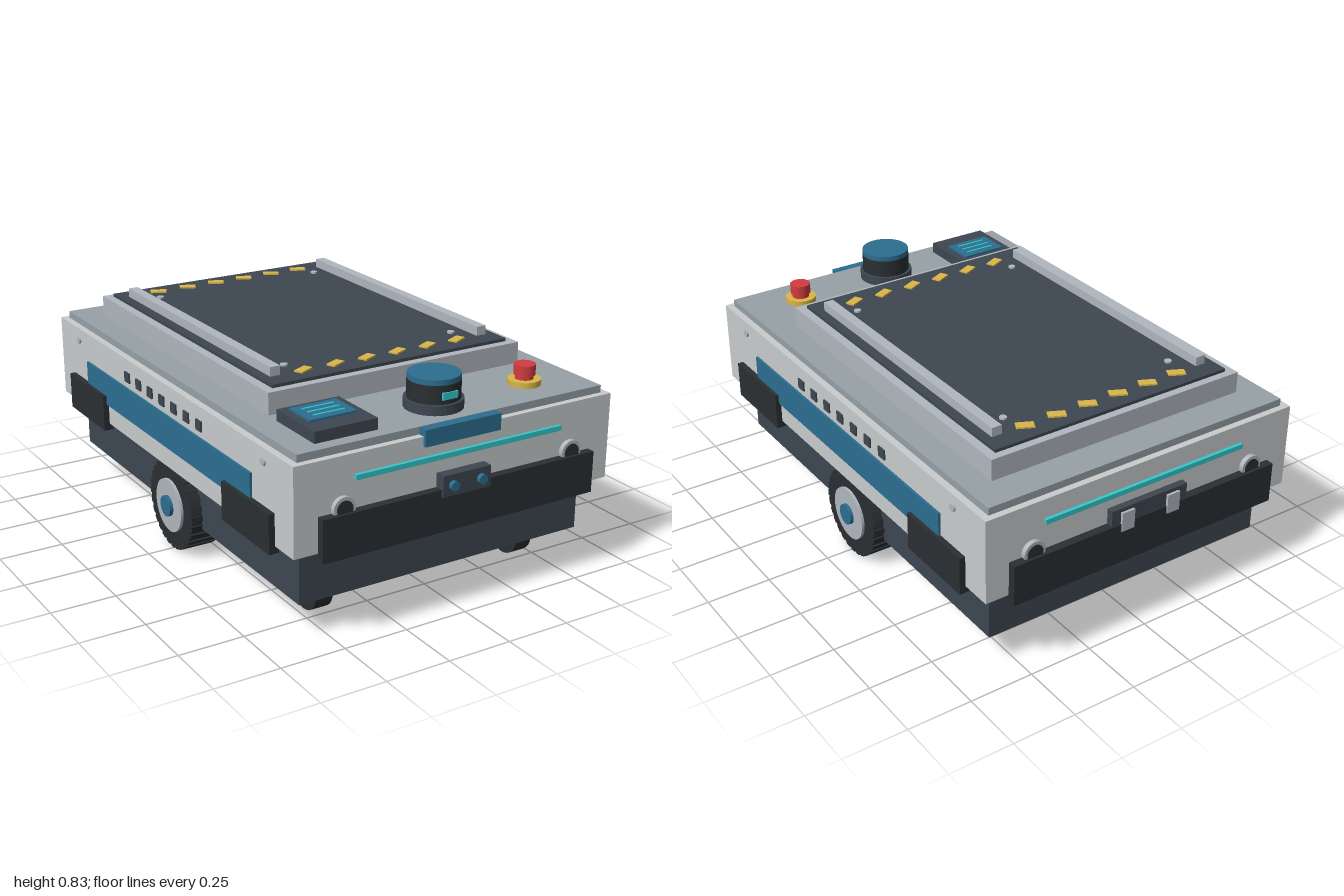
import * as THREE from 'three';

const mat = (color) => new THREE.MeshStandardMaterial({ color });
const M = {
  shell: mat(0xc8cccd), deck: mat(0x96a1a6), metal: mat(0xb0b7be), dark: mat(0x3d4751),
  black: mat(0x2a2f32), blue: mat(0x2c6e90), cyan: mat(0x34c9cd), yellow: mat(0xdab548), red: mat(0xd23c3f),
};

export function createModel() {
  const root = new THREE.Group();
  root.name = 'mobileRobot';
  const body = new THREE.Group();
  body.name = 'robot';
  body.position.z = -0.01;
  root.add(body);

  const add = (name, geo, m, x, y, z, parent = body) => {
    const mesh = new THREE.Mesh(geo, m);
    mesh.name = name;
    mesh.position.set(x, y, z);
    parent.add(mesh);
    return mesh;
  };
  // box given by its limits
  const box = (name, m, x0, x1, y0, y1, z0, z1, parent) =>
    add(name, new THREE.BoxGeometry(x1 - x0, y1 - y0, z1 - z0), m, (x0 + x1) / 2, (y0 + y1) / 2, (z0 + z1) / 2, parent);
  // cylinder centred on a point, along the chosen axis
  const cyl = (name, m, r, len, x, y, z, axis = 'y', parent = body, seg = 32) => {
    const g = new THREE.CylinderGeometry(r, r, len, seg);
    if (axis === 'x') g.rotateZ(Math.PI / 2);
    if (axis === 'z') g.rotateX(Math.PI / 2);
    return add(name, g, m, x, y, z, parent);
  };

  // Main hull
  box('chassis', M.dark, -0.6, 0.6, 0.135, 0.352, -0.877, 0.877);
  box('shell', M.shell, -0.665, 0.665, 0.352, 0.68, -0.953, 0.953);
  box('topDeck', M.deck, -0.638, 0.638, 0.68, 0.708, -0.928, 0.928);

  // Load platform
  box('platformBase', M.metal, -0.538, 0.538, 0.708, 0.79, -0.8, 0.573);
  box('platformPlate', M.dark, -0.503, 0.503, 0.79, 0.802, -0.77, 0.54);
  for (const s of [-1, 1]) {
    box('platformRail', M.metal, s * 0.447 - 0.02, s * 0.447 + 0.02, 0.802, 0.837, -0.697, 0.463);
    for (const z of [-0.614, 0.382]) cyl('platformScrew', M.metal, 0.014, 0.008, s * 0.365, 0.805, z, 'y', body, 16);
  }
  for (const [z, turn] of [[-0.698, -0.45], [0.463, 0.45]]) {
    for (let i = 0; i < 6; i++) {
      const stripe = add('hazardStripe', new THREE.BoxGeometry(0.065, 0.006, 0.036), M.yellow, -0.333 + i * 0.1332, 0.805, z);
      stripe.rotation.y = turn;
    }
  }

  // Control panel
  box('panelHousing', M.dark, -0.54, -0.292, 0.708, 0.75, 0.632, 0.878);
  box('panelScreen', M.blue, -0.508, -0.323, 0.75, 0.758, 0.662, 0.798);
  for (const z of [0.696, 0.731, 0.766]) box('screenLine', M.cyan, -0.477, -0.353, 0.758, 0.761, z - 0.004, z + 0.004);

  // Laser scanner
  cyl('scannerBase', M.dark, 0.107, 0.036, 0, 0.726, 0.785);
  cyl('scannerBody', M.black, 0.096, 0.07, 0, 0.778, 0.785);
  cyl('scannerCap', M.blue, 0.095, 0.02, 0, 0.823, 0.785);
  box('scannerWindow', M.cyan, -0.031, 0.031, 0.762, 0.788, 0.86, 0.885);

  // Emergency stop
  cyl('stopCollar', M.yellow, 0.061, 0.022, 0.412, 0.719, 0.77);
  cyl('stopStem', M.red, 0.034, 0.02, 0.412, 0.738, 0.77);
  cyl('stopButton', M.red, 0.04, 0.04, 0.412, 0.765, 0.77);

  // Front badge plate
  box('frontPlate', M.blue, -0.158, 0.158, 0.645, 0.707, 0.92, 0.966);

  // Bumpers, light strips and round sensors at both ends
  for (const s of [-1, 1]) {
    const end = new THREE.Group();
    end.name = s > 0 ? 'frontEnd' : 'rearEnd';
    if (s < 0) end.rotation.y = Math.PI;
    body.add(end);
    box('bumper', M.black, -0.573, 0.573, 0.325, 0.484, 0.95, 0.985, end);
    box('lightStrip', M.cyan, -0.432, 0.432, 0.587, 0.606, 0.95, 0.966, end);
    for (const x of [-0.48, 0.48]) {
      cyl('sensorRing', M.metal, 0.043, 0.022, x, 0.497, 0.96, 'z', end);
      cyl('sensorLens', M.black, 0.031, 0.026, x, 0.497, 0.962, 'z', end);
    }
    if (s > 0) {
      box('cameraHousing', M.dark, -0.1, 0.1, 0.458, 0.537, 0.95, 0.994, end);
      for (const x of [-0.059, 0.059]) cyl('cameraLens', M.blue, 0.018, 0.02, x, 0.497, 1.0, 'z', end, 20);
    } else {
      box('chargePort', M.dark, -0.165, 0.165, 0.44, 0.545, 0.95, 0.98, end);
      for (const x of [-0.1, 0.1]) box('chargeContact', M.metal, x - 0.027, x + 0.027, 0.455, 0.53, 0.975, 0.99, end);
    }
  }

  // Details and running gear on both sides
  for (const s of [-1, 1]) {
    const side = (name, m, d, y0, y1, z0, z1) =>
      box(name, m, Math.min(s * 0.65, s * d), Math.max(s * 0.65, s * d), y0, y1, z0, z1);
    side('sidePanel', M.blue, 0.674, 0.435, 0.563, -0.68, 0.68);
    for (let i = -3; i <= 3; i++) side('sideVent', M.dark, 0.671, 0.588, 0.628, i * 0.1 - 0.021, i * 0.1 + 0.021);
    for (const e of [-1, 1]) {
      side('cornerGuard', M.black, 0.688, 0.325, 0.472, e * 0.665 - 0.166, e * 0.665 + 0.166);
      cyl('sideScrew', M.metal, 0.014, 0.016, s * 0.665, 0.632, e * 0.763, 'x', body, 16);
    }

    // Drive wheel with tread blocks
    const wheel = new THREE.Group();
    wheel.name = 'driveWheel';
    wheel.position.set(s * 0.582, 0.181, 0);
    body.add(wheel);
    cyl('tyre', M.black, 0.17, 0.124, 0, 0, 0, 'x', wheel, 48);
    for (let i = 0; i < 28; i++) {
      const a = (i / 28) * Math.PI * 2;
      const lug = add('treadBlock', new THREE.BoxGeometry(0.124, 0.014, 0.024), M.black, 0, Math.cos(a) * 0.169, Math.sin(a) * 0.169, wheel);
      lug.rotation.x = a;
    }
    cyl('hub', M.metal, 0.105, 0.03, s * 0.058, 0, 0, 'x', wheel);
    cyl('hubCap', M.blue, 0.041, 0.03, s * 0.072, 0, 0, 'x', wheel, 24);

    // Casters
    for (const e of [-1, 1]) {
      const caster = new THREE.Group();
      caster.name = 'caster';
      caster.position.set(s * 0.44, 0.091, e * 0.697);
      body.add(caster);
      cyl('casterWheel', M.black, 0.083, 0.07, 0, 0, 0, 'x', caster);
      for (const f of [-1, 1]) box('casterFork', M.metal, f * 0.043 - 0.008, f * 0.043 + 0.008, -0.016, 0.06, -0.04, 0.04, caster);
    }
  }
  return root;
}
